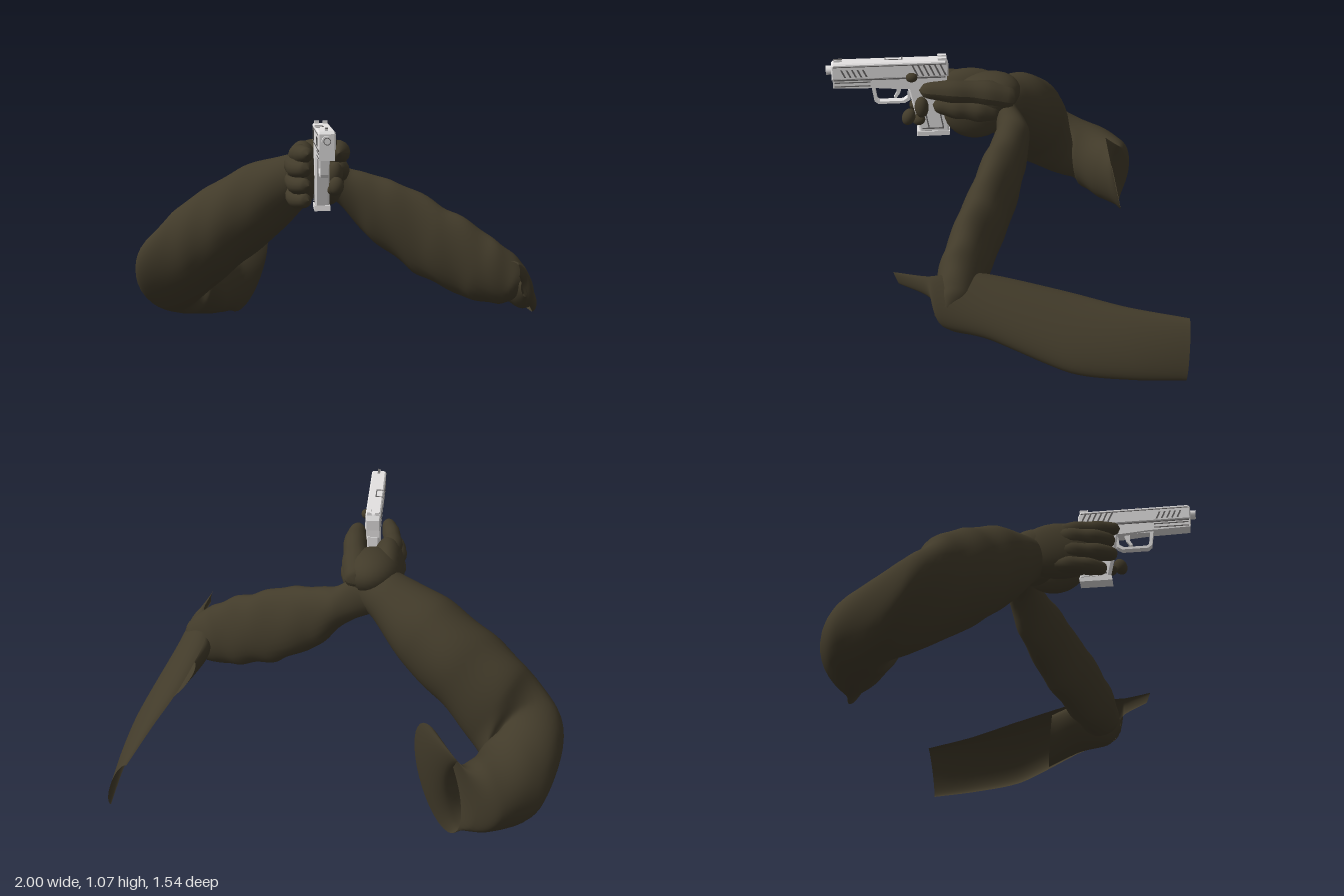
import * as THREE from 'three';

const sleeveMat = new THREE.MeshStandardMaterial({ color: 0x423b2a, side: THREE.DoubleSide });
sleeveMat.name = 'dark olive cloth';
const steelMat = new THREE.MeshStandardMaterial({ color: 0xe4e2e2 });
steelMat.name = 'light grey metal';
const grooveMat = new THREE.MeshStandardMaterial({ color: 0x666464 });
grooveMat.name = 'dark grey groove';

const GUN_X = -0.108;

function add(parent, name, geometry, material) {
  const mesh = new THREE.Mesh(geometry, material);
  mesh.name = name;
  parent.add(mesh);
  return mesh;
}

// Loft through sections [centre, U, V], each three numbers; arc < 2 PI leaves it open
function loft(sections, { steps = 48, sides = 28, arc = Math.PI * 2, wrinkle = 0 } = {}) {
  const curves = [0, 3, 6].map(k => new THREE.CatmullRomCurve3(
    sections.map(s => new THREE.Vector3(s[k], s[k + 1], s[k + 2])), false, 'catmullrom', 0.4));
  const closed = arc > 6.28, cols = closed ? sides : sides + 1;
  const pos = [], index = [];
  for (let i = 0; i <= steps; i++) {
    const t = i / steps;
    const [c, u, v] = curves.map(k => k.getPoint(t));
    for (let j = 0; j < cols; j++) {
      const a = j / sides * arc - (closed ? 0 : Math.PI / 2);
      const fold = 1 + wrinkle * Math.sin(t * 44 + 2 * Math.sin(a)) * Math.sin(a * 2 + t * 9) * Math.sin(t * Math.PI);
      const p = c.clone().addScaledVector(u, Math.cos(a) * fold).addScaledVector(v, Math.sin(a) * fold);
      pos.push(p.x, p.y, p.z);
    }
  }
  for (let i = 0; i < steps; i++) for (let j = 0; j < sides; j++) {
    const k = (j + 1) % cols;
    const a = i * cols + j, b = i * cols + k, c = a + cols, d = b + cols;
    index.push(a, b, c, b, d, c);
  }
  const g = new THREE.BufferGeometry();
  g.setAttribute('position', new THREE.Float32BufferAttribute(pos, 3));
  g.setIndex(index);
  g.computeVertexNormals();
  return g;
}

// Section with fixed directions for U and V
const section = (c, uDir, ru, vDir, rv) => [...c, ...uDir.map(n => n * ru), ...vDir.map(n => n * rv)];

// Side profile in (z, y), extruded across x
function profile(points, width, x = GUN_X, hole = null, bevel = 0) {
  const shape = new THREE.Shape(points.map(p => new THREE.Vector2(...p)));
  if (hole) shape.holes.push(new THREE.Path(hole.map(p => new THREE.Vector2(...p))));
  const depth = width - 2 * bevel;
  return new THREE.ExtrudeGeometry(shape, {
    depth, bevelEnabled: bevel > 0, bevelSize: bevel, bevelOffset: -bevel, bevelThickness: bevel, bevelSegments: 1
  }).rotateY(-Math.PI / 2).translate(x + depth / 2, 0, 0);
}

const box = (w, h, d, x, y, z) => new THREE.BoxGeometry(w, h, d).translate(x, y, z);

function ellipsoid(c, r, tilt = 0) {
  return new THREE.SphereGeometry(1, 28, 18).scale(...r).rotateX(tilt).translate(...c);
}

// Tapered finger with rounded ends along a curve
function finger(points, r, r2) {
  const path = new THREE.CatmullRomCurve3(points.map(p => new THREE.Vector3(...p)));
  const g = new THREE.TubeGeometry(path, 24, 1, 14);
  const p = g.attributes.position, v = new THREE.Vector3();
  for (let i = 0; i < p.count; i++) {
    const t = Math.floor(i / 15) / 24;
    const c = path.getPointAt(t);
    const end = Math.sqrt(Math.max(0, 1 - Math.pow(Math.abs(2 * t - 1), 6)));
    const s = (r + (r2 - r) * t) * end * (1 + 0.05 * Math.cos(t * 19));
    v.fromBufferAttribute(p, i).sub(c).multiplyScalar(s).add(c);
    p.setXYZ(i, v.x, v.y, v.z);
  }
  g.computeVertexNormals();
  return g;
}

function buildPistol() {
  const gun = new THREE.Group();
  gun.name = 'pistol';

  // Slide, frame and barrel
  add(gun, 'slide', profile([[0.225, 0.98], [0.746, 0.98], [0.746, 1.045], [0.735, 1.056], [0.235, 1.056], [0.222, 1.03]], 0.07, GUN_X, null, 0.006), steelMat);
  add(gun, 'frame', profile([[0.23, 0.985], [0.23, 0.945], [0.27, 0.925], [0.43, 0.925], [0.55, 0.935], [0.742, 0.94], [0.742, 0.985]], 0.062), steelMat);
  add(gun, 'slideSeam', box(0.066, 0.006, 0.5, GUN_X, 0.978, 0.487), grooveMat);
  add(gun, 'barrel', new THREE.CylinderGeometry(0.021, 0.021, 0.04, 20).rotateX(Math.PI / 2).translate(GUN_X, 1.018, 0.75), steelMat);
  add(gun, 'bore', new THREE.RingGeometry(0.012, 0.015, 20).translate(GUN_X, 1.018, 0.771), grooveMat);

  // Grip and magazine base
  add(gun, 'grip', profile([[0.41, 0.94], [0.36, 0.705], [0.225, 0.705], [0.235, 0.94]], 0.062, GUN_X, null, 0.008), steelMat);
  add(gun, 'magazineBase', profile([[0.375, 0.688], [0.225, 0.688], [0.222, 0.708], [0.372, 0.712]], 0.068), steelMat);

  // Trigger guard and trigger
  add(gun, 'triggerGuard', profile(
    [[0.385, 0.935], [0.4, 0.865], [0.425, 0.85], [0.545, 0.85], [0.562, 0.865], [0.572, 0.94]], 0.034, GUN_X,
    [[0.405, 0.93], [0.556, 0.93], [0.548, 0.87], [0.538, 0.862], [0.432, 0.862], [0.412, 0.876]]), steelMat);
  add(gun, 'trigger', profile([[0.435, 0.93], [0.462, 0.93], [0.46, 0.9], [0.474, 0.876], [0.462, 0.872], [0.444, 0.898]], 0.018), steelMat);

  // Sights
  add(gun, 'frontSight', box(0.012, 0.012, 0.035, GUN_X, 1.06, 0.715), steelMat);
  for (const s of [-1, 1]) add(gun, 'rearSight', box(0.02, 0.014, 0.04, GUN_X + s * 0.018, 1.06, 0.25), steelMat);
  add(gun, 'frontSightInlay', box(0.01, 0.003, 0.04, GUN_X, 1.067, 0.715), grooveMat);

  // Slanted grooves, rails and outlines on both sides
  for (const s of [-1, 1]) {
    const x = GUN_X + s * 0.0345;
    const groove = (z, y, h) => add(gun, 'slideGroove',
      profile([[z, y], [z + 0.008, y], [z + 0.008 + h * 0.45, y + h], [z + h * 0.45, y + h]], 0.003, x), grooveMat);
    for (let i = 0; i < 5; i++) groove(0.585 + i * 0.024, 0.992, 0.036);
    for (let i = 0; i < 6; i++) groove(0.232 + i * 0.025, 0.988, 0.056);
    add(gun, 'slideLine', box(0.003, 0.004, 0.5, x, 1.042, 0.485), grooveMat);
    const fx = GUN_X + s * 0.031;
    for (const y of [0.948, 0.966]) add(gun, 'railLine', box(0.003, 0.005, 0.16, fx, y, 0.655), grooveMat);
    for (const [z, y, h] of [[0.25, 0.73, 0.17], [0.315, 0.725, 0.12]])
      add(gun, 'gripLine', profile([[z, y], [z + 0.006, y], [z + 0.006 + h * 0.18, y + h], [z + h * 0.18, y + h]], 0.003, fx), grooveMat);
    add(gun, 'gripLine', box(0.003, 0.006, 0.1, fx, 0.725, 0.3), grooveMat);
  }

  // Ejection port outline
  for (const z of [0.43, 0.505]) add(gun, 'portEdge', box(0.034, 0.003, 0.006, GUN_X - 0.017, 1.0565, z), grooveMat);
  add(gun, 'portEdge', box(0.005, 0.003, 0.08, GUN_X - 0.002, 1.0565, 0.468), grooveMat);
  return gun;
}

function buildHands() {
  const hands = new THREE.Group();
  hands.name = 'hands';
  // Palms and wrist wrapped around the grip
  add(hands, 'rightPalm', ellipsoid([-0.185, 0.83, 0.14], [0.078, 0.14, 0.2], 0.1), sleeveMat);
  add(hands, 'leftPalm', ellipsoid([-0.06, 0.815, 0.1], [0.065, 0.135, 0.15], 0.1), sleeveMat);
  add(hands, 'backOfHand', ellipsoid([-0.12, 0.86, 0.06], [0.13, 0.105, 0.17], 0.25), sleeveMat);

  // Thumb along the left side of the pistol
  add(hands, 'thumb', finger([[-0.06, 0.86, -0.08], [-0.045, 0.9, 0.05], [-0.03, 0.925, 0.2], [-0.035, 0.935, 0.36]], 0.07, 0.042), sleeveMat);
  add(hands, 'leftFinger', finger([[-0.05, 0.82, 0.0], [-0.03, 0.84, 0.14], [-0.04, 0.86, 0.3]], 0.07, 0.04), sleeveMat);

  // Fingers along the right side of the grip
  for (const [y, z, r] of [[0.87, 0.39, 0.04], [0.8, 0.4, 0.038], [0.73, 0.35, 0.036]]) {
    add(hands, 'finger', finger([[-0.2, y + 0.02, 0.1], [-0.225, y, 0.22], [-0.205, y - 0.005, z - 0.06],
      [-0.165, y, z]], r + 0.006, r), sleeveMat);
  }
  add(hands, 'indexFinger', finger([[-0.2, 0.91, 0.12], [-0.2, 0.92, 0.25], [-0.17, 0.935, 0.42]], 0.05, 0.034), sleeveMat);

  // Fingertips on the left side of the grip
  add(hands, 'fingertip', ellipsoid([-0.05, 0.8, 0.41], [0.032, 0.04, 0.03], -0.4), sleeveMat);
  add(hands, 'fingertip', ellipsoid([-0.05, 0.845, 0.35], [0.032, 0.05, 0.032]), sleeveMat);
  add(hands, 'fingertip', ellipsoid([-0.06, 0.78, 0.365], [0.028, 0.026, 0.03]), sleeveMat);
  add(hands, 'thumbTip', ellipsoid([-0.065, 0.985, 0.39], [0.02, 0.022, 0.026]), sleeveMat);
  return hands;
}

export function createModel() {
  const model = new THREE.Group();
  model.name = 'armsWithPistol';
  model.add(buildPistol(), buildHands());

  // Right arm: forearm, bent elbow and upper sleeve ending in a raised, pinched lip
  const ru = [-0.47, 0, 0.88], rv = [-0.38, 0.9, -0.2];
  add(model, 'rightArm', loft([
    section([-0.1, 0.82, 0.03], ru, 0.1, rv, 0.11),
    section([-0.2, 0.785, -0.04], ru, 0.12, rv, 0.12),
    section([-0.37, 0.67, -0.13], ru, 0.17, rv, 0.18),
    section([-0.55, 0.54, -0.21], ru, 0.18, rv, 0.2),
    section([-0.71, 0.4, -0.29], ru, 0.16, [-0.42, 0.9, -0.05], 0.21),
    [-0.83, 0.265, -0.41, -0.165, 0, 0.05, -0.03, 0.2, 0.04],
    [-0.765, 0.2, -0.555, -0.14, 0, -0.1, 0, 0.18, 0.02],
    [-0.64, 0.175, -0.655, -0.08, 0, -0.115, 0, 0.175, 0],
    [-0.55, 0.18, -0.675, -0.065, 0.01, -0.055, 0.02, 0.175, 0.01],
    [-0.45, 0.24, -0.635, -0.065, 0.05, 0.005, 0.085, 0.24, 0.065]
  ], { steps: 80, sides: 32, wrinkle: 0.03 }), sleeveMat);

  // Left forearm, flattened, tilted and closing at the elbow
  const lu = [-0.35, -0.2, 0.9], lv = [0.4, 0.88, 0.32];
  add(model, 'leftForearm', loft([
    section([-0.1, 0.79, -0.03], lu, 0.07, lv, 0.09),
    section([0.02, 0.745, -0.06], lu, 0.075, lv, 0.085),
    section([0.18, 0.645, -0.005], lu, 0.085, lv, 0.145),
    section([0.4, 0.51, 0.1], lu, 0.09, lv, 0.17),
    section([0.6, 0.4, 0.2], lu, 0.09, lv, 0.155),
    section([0.74, 0.335, 0.25], lu, 0.085, lv, 0.11),
    section([0.81, 0.32, 0.29], lu, 0.03, lv, 0.04)
  ], { steps: 60, wrinkle: 0.045 }), sleeveMat);

  // Left upper sleeve: a curved shell open on its inner side
  add(model, 'leftUpperSleeve', loft([
    [0.725, 0.44, 0.49, 0.005, 0, 0, -0.005, 0.025, 0.01],
    [0.755, 0.405, 0.36, 0.02, 0.01, 0.01, -0.015, 0.045, 0.01],
    [0.77, 0.345, 0.3, 0.05, 0.02, 0.03, -0.04, 0.1, 0],
    [0.775, 0.31, 0.12, 0.07, 0.03, 0, -0.085, 0.105, 0],
    [0.855, 0.22, -0.2, 0.07, 0.03, 0, -0.105, 0.13, 0],
    [0.905, 0.18, -0.45, 0.05, 0.025, 0, -0.08, 0.125, 0],
    [0.935, 0.155, -0.69, 0.03, 0.015, 0, -0.05, 0.12, -0.01]
  ], { arc: Math.PI, sides: 20 }), sleeveMat);

  // Left elbow: short hollow tube running into the shell
  add(model, 'leftElbow', loft([
    [0.785, 0.32, 0.34, 0.01, 0.005, 0, -0.01, 0.03, 0],
    [0.775, 0.315, 0.27, 0.05, 0.025, 0.01, -0.04, 0.09, 0],
    [0.77, 0.305, 0.12, 0.06, 0.03, 0, -0.08, 0.1, 0],
    [0.815, 0.26, -0.03, 0.04, 0.025, 0, -0.09, 0.11, 0.02]
  ], { steps: 24, sides: 24 }), sleeveMat);

  return model;
}
